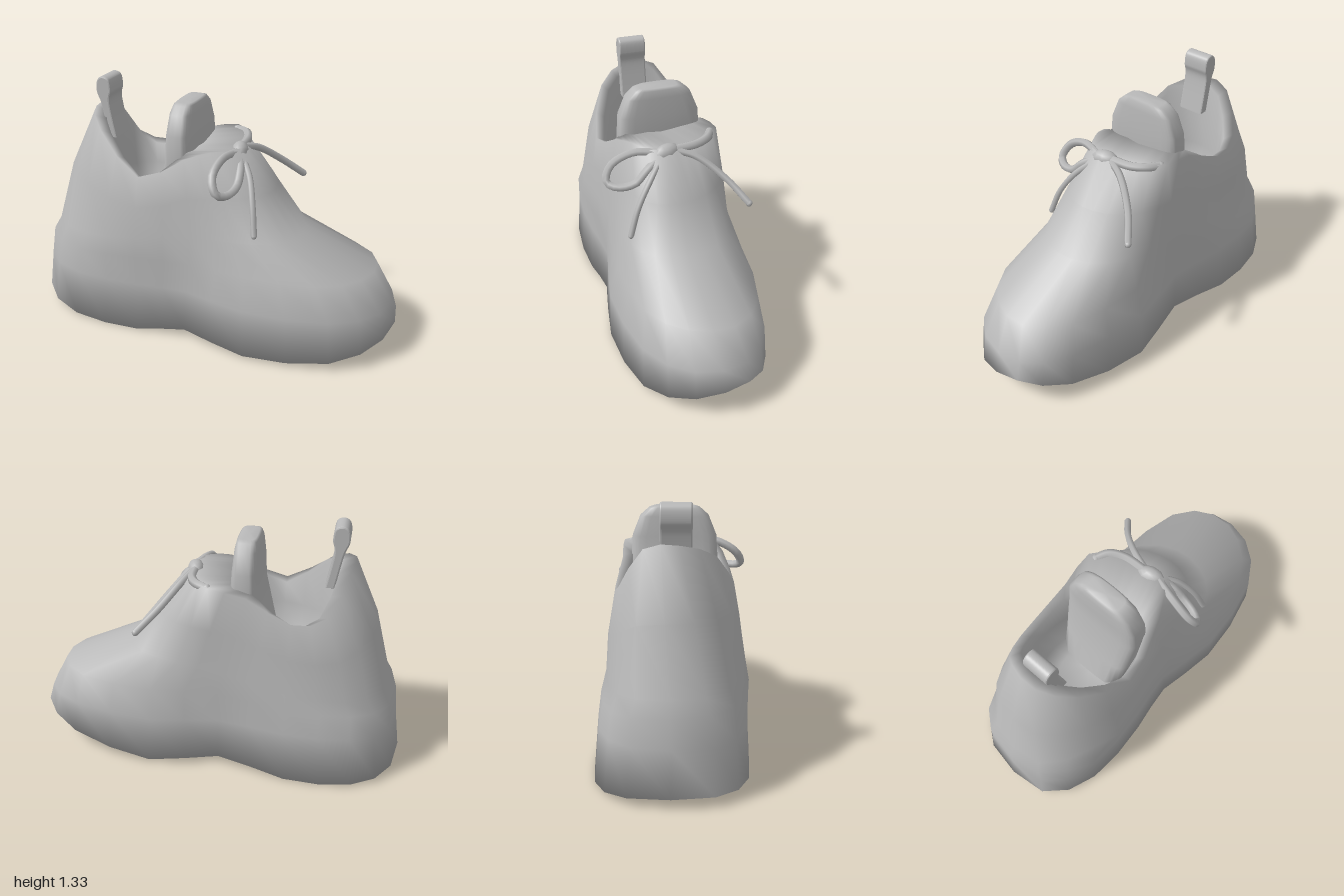
import * as THREE from 'three';

const grey = new THREE.MeshStandardMaterial({ color: 0xb8b8b8, side: THREE.DoubleSide });
grey.name = 'plain grey';

const COLS = 28;
const V = (x, y, z) => new THREE.Vector3(x, y, z);

// Ring of points round the shoe: toe, +z side, heel, -z side. pts = x,z pairs, ys = one height per point
const ring = (ys, pts) => ys.map((y, i) => V(pts[2 * i], y, pts[2 * i + 1]));
const smooth = (r) => {
  const curve = new THREE.CatmullRomCurve3(r, true, 'catmullrom', 0.5);
  return Array.from({ length: COLS }, (_, i) => curve.getPoint(i / COLS));
};

// Smooth skin over a stack of rings, the bottom ring bridged from side to side
function loft(rings, name) {
  const pos = [], idx = [];
  rings.forEach((r) => smooth(r).forEach((p) => pos.push(p.x, Math.max(0, p.y), p.z)));
  for (let k = 0; k < rings.length - 1; k++) {
    for (let j = 0; j < COLS; j++) {
      const a = k * COLS + j, b = k * COLS + (j + 1) % COLS;
      idx.push(a, a + COLS, b + COLS, a, b + COLS, b);
    }
  }
  for (let j = 0; j < COLS / 2; j++) {
    const a = j, b = j + 1, c = COLS - j - 1, d = (COLS - j) % COLS;
    if (b !== c) idx.push(a, b, c);
    if (a !== d) idx.push(a, c, d);
  }
  const g = new THREE.BufferGeometry();
  g.setAttribute('position', new THREE.Float32BufferAttribute(pos, 3));
  g.setIndex(idx);
  g.computeVertexNormals();
  return named(g, name);
}

function named(geometry, name) {
  const m = new THREE.Mesh(geometry, grey);
  m.name = name;
  return m;
}

function shoeBody() {
  const edge = ring([0.18, 0.13, 0.05, 0.015, 0.05, 0.005, 0.015, 0.06, 0.045, 0.015, 0.005, 0.05, 0.02, 0.1], [
    1.0, 0.14, 0.92, 0.4, 0.65, 0.535, 0.2, 0.48, -0.13, 0.33, -0.4, 0.29, -0.78, 0.19,
    -1.0, -0.04, -0.89, -0.43, -0.65, -0.54, -0.3, -0.46, 0.04, -0.3, 0.42, -0.27, 0.84, -0.08]);
  const bulge = edge.map((p) => V(p.x * 0.97, 0.28, p.z * (p.x > 0 ? 0.98 : 0.95)));
  // The heel flare ends in a ledge between these two rings
  const toeTop = ring([0.45, 0.45, 0.45, 0.45, 0.45, 0.45, 0.43, 0.43, 0.42, 0.41, 0.42, 0.45, 0.45, 0.45], [
    0.88, 0.16, 0.79, 0.36, 0.56, 0.47, 0.2, 0.42, -0.1, 0.33, -0.4, 0.28, -0.73, 0.19,
    -0.95, -0.05, -0.855, -0.4, -0.63, -0.49, -0.3, -0.43, 0.04, -0.3, 0.4, -0.23, 0.77, -0.06]);
  const instep = ring([0.61, 0.61, 0.61, 0.61, 0.6, 0.56, 0.52, 0.5, 0.49, 0.48, 0.5, 0.58, 0.61, 0.61], [
    0.5, 0.09, 0.45, 0.25, 0.33, 0.35, 0.12, 0.35, -0.1, 0.31, -0.4, 0.27, -0.7, 0.17,
    -0.91, -0.06, -0.82, -0.37, -0.6, -0.458, -0.3, -0.41, 0.02, -0.3, 0.25, -0.23, 0.44, -0.1]);
  const rim = ring([1.03, 1.04, 1.04, 1.04, 1.0, 0.89, 1.08, 1.15, 1.13, 0.93, 0.89, 1.0, 1.04, 1.04], [
    0.16, 0, 0.16, 0.09, 0.11, 0.17, 0, 0.21, -0.14, 0.23, -0.38, 0.22, -0.61, 0.06,
    -0.68, -0.13, -0.62, -0.29, -0.5, -0.385, -0.32, -0.37, -0.1, -0.29, 0.09, -0.25, 0.15, -0.12]);

  const c = V(-0.32, 0, -0.07);
  const about = (p, kx, kz, y) => V(c.x + (p.x - c.x) * kx, y, c.z + (p.z - c.z) * kz);
  // Heel side swells between instep and rim
  const ankle = rim.map((p, i) => {
    const m = p.clone().lerp(instep[i], 0.5);
    const k = m.x < -0.5 ? 1.06 : 1.01;
    return about(m, k, k, m.y);
  });
  // Padding is broad at the throat and thin at the heel
  const lining = rim.map((p) =>
    about(p, 0.82 - 0.34 * THREE.MathUtils.smoothstep(p.x, -0.3, 0.2), 0.87, p.y - 0.02));
  const inside = [[0.93, 0.76], [0.78, 0.58], [0.5, 0.51], [0.01, 0.5]]
    .map(([k, y]) => lining.map((p) => about(p, k, k, y)));

  return loft([edge, bulge, toeTop, instep, ankle, rim, lining, ...inside], 'shoeBody');
}

// Tongue of rounded slices, its back sweeping down into the shoe
function tongue() {
  const slice = (y, depth, width, shift = 0) => Array.from({ length: 14 }, (_, i) => {
    const t = (i / 14) * Math.PI * 2;
    const round = (v) => Math.sign(v) * Math.abs(v) ** 0.5;
    return V(depth * round(Math.cos(t)) + shift, y, width * round(Math.sin(t)));
  });
  const mesh = loft([slice(0.52, 0.12, 0.2, -0.08), slice(0.7, 0.1, 0.21, -0.04), slice(0.95, 0.078, 0.225),
    slice(1.1, 0.07, 0.215), slice(1.2, 0.062, 0.175), slice(1.24, 0.055, 0.13), slice(1.25, 0.045, 0.1),
    slice(1.25, 0.001, 0.001)], 'tongue');
  mesh.position.set(-0.14, 0, -0.03);
  mesh.rotation.y = -0.25;
  return mesh;
}

// Pull tab at the heel: smooth side outline, extruded across
function pullTab() {
  const shape = new THREE.Shape();
  shape.moveTo(0.02, 1.0);
  shape.splineThru([[-0.015, 1.18], [-0.04, 1.25], [-0.035, 1.31], [-0.005, 1.335], [0.035, 1.32], [0.045, 1.26],
    [0.035, 1.19], [0.07, 1.0]].map((p) => new THREE.Vector2(...p)));
  const g = new THREE.ExtrudeGeometry(shape, { depth: 0.134, bevelThickness: 0.008, bevelSize: 0.008,
    bevelOffset: -0.008, bevelSegments: 2, curveSegments: 20 });
  const mesh = named(g.translate(0, 0, -0.067), 'pullTab');
  mesh.position.set(-0.6, 0, -0.13);
  mesh.rotation.y = -0.25;
  return mesh;
}

function lace(points, name, r = 0.019) {
  const curve = new THREE.CatmullRomCurve3(points.map((p) => V(...p)));
  const group = new THREE.Group();
  group.name = name;
  group.add(named(new THREE.TubeGeometry(curve, 24, r, 6), name + 'Cord'));
  [points[0], points[points.length - 1]].forEach((p) => {
    const cap = named(new THREE.SphereGeometry(r, 6, 4), name + 'Tip');
    cap.position.set(...p);
    group.add(cap);
  });
  return group;
}

export function createModel() {
  const shoe = new THREE.Group();
  shoe.name = 'shoe';
  shoe.add(shoeBody(), tongue(), pullTab());

  // Bow: knot, strap, loop and two loose ends
  const knot = named(new THREE.SphereGeometry(1, 10, 8), 'knot');
  knot.scale.set(0.045, 0.048, 0.075);
  knot.position.set(0.135, 1.01, 0.08);
  shoe.add(knot);
  shoe.add(
    lace([[0.14, 1.02, 0.05], [0.16, 1.025, -0.08], [0.14, 1.03, -0.16], [0.09, 1.025, -0.21]], 'strap', 0.024),
    lace([[0.13, 1.02, 0.12], [0.06, 1.02, 0.24], [0.025, 0.96, 0.35], [0.05, 0.89, 0.39], [0.1, 0.87, 0.35],
      [0.14, 0.89, 0.27], [0.15, 0.95, 0.21], [0.14, 1.0, 0.13]], 'loop', 0.022),
    lace([[0.15, 1.02, 0.04], [0.22, 0.985, -0.05], [0.34, 0.885, -0.15], [0.46, 0.785, -0.21]], 'backLaceEnd'),
    lace([[0.15, 1.0, 0.12], [0.2, 0.92, 0.22], [0.225, 0.8, 0.305], [0.24, 0.66, 0.36]], 'frontLaceEnd', 0.016),
  );
  return shoe;
}
